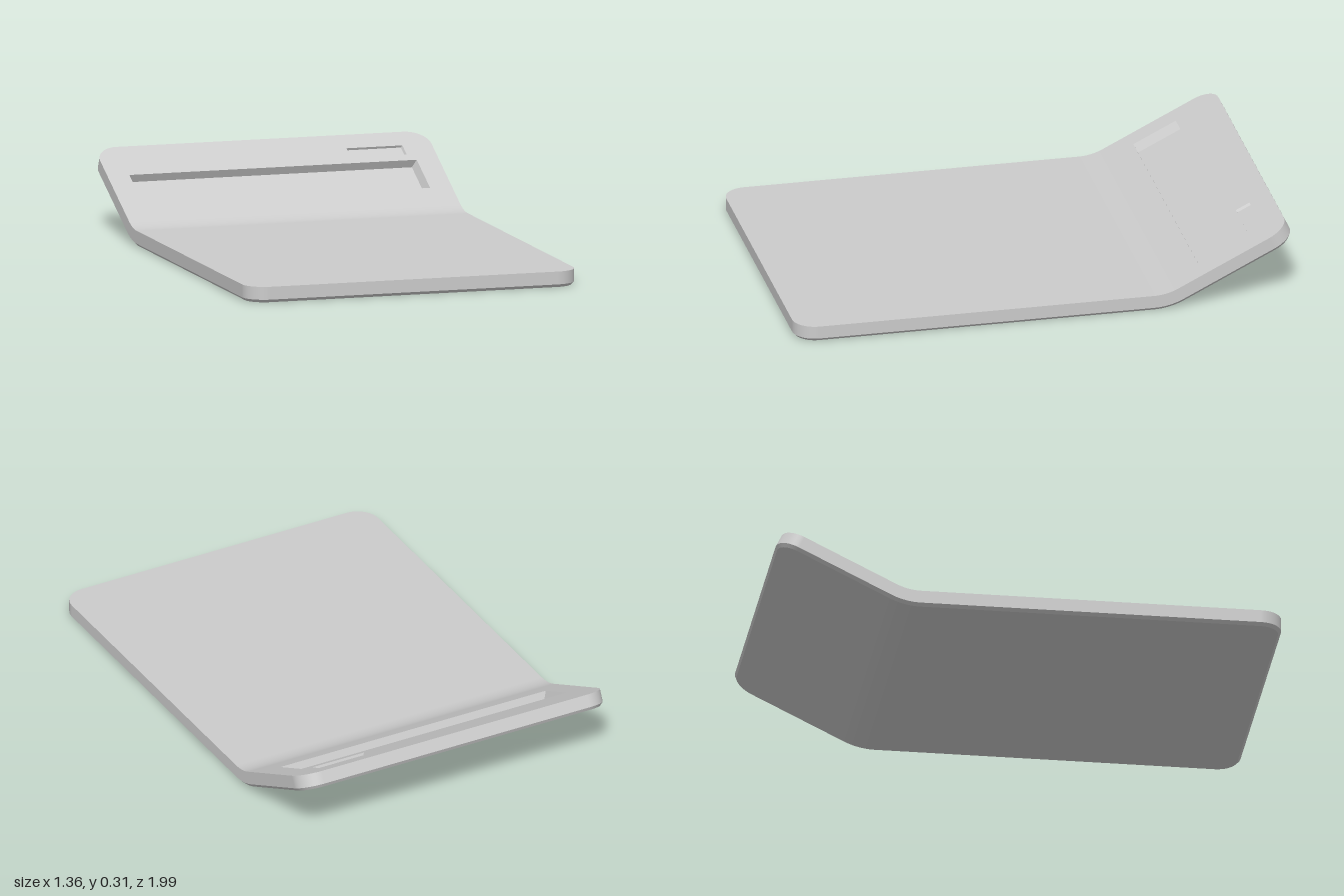
import * as THREE from 'three';
import { mergeGeometries } from 'three/addons/utils/BufferGeometryUtils.js';

const T = 0.063, W = 0.68, FRONT = 1, BACK = -1.025, CORNER = 0.09, CHAMFER = 0.012;
const BEND_Z = -0.43, BEND_R = 0.22, ANGLE = 0.46;
const BEND_END = BEND_Z - BEND_R * ANGLE;
const BEND_STEPS = 12;

// Curls a flat plate geometry upward behind BEND_Z, turning its normals with it
function bend(geometry) {
  const p = geometry.attributes.position, n = geometry.attributes.normal;
  for (let i = 0; i < p.count; i++) {
    const run = Math.max(0, BEND_Z - p.getZ(i));
    if (run === 0) continue;
    const a = Math.min(run / BEND_R, ANGLE);
    const over = Math.max(0, run - BEND_R * ANGLE);
    const rad = T + BEND_R - p.getY(i), c = Math.cos(a), s = Math.sin(a);
    const ny = n.getY(i), nz = n.getZ(i);
    p.setY(i, T + BEND_R - rad * c + over * s);
    p.setZ(i, BEND_Z - rad * s - over * c);
    n.setY(i, ny * c - nz * s);
    n.setZ(i, nz * c + ny * s);
  }
  return geometry;
}

// Z positions where the plate is divided so it can curve
const cuts = [];
for (let i = 0; i <= BEND_STEPS; i++) cuts.push(BEND_Z + (BEND_END - BEND_Z) * i / BEND_STEPS);

// Rounded outline with outward normals, counter-clockwise from above
function outline() {
  const pts = [];
  const corner = (cx, cz, start) => {
    for (let i = 0; i <= 10; i++) {
      const f = start + i / 10 * Math.PI / 2, nx = Math.sin(f), nz = Math.cos(f);
      pts.push({ x: cx + CORNER * nx, z: cz + CORNER * nz, nx, nz });
    }
  };
  const ix = W - CORNER;
  corner(-ix, FRONT - CORNER, -Math.PI / 2);
  corner(ix, FRONT - CORNER, 0);
  cuts.forEach(z => pts.push({ x: W, z, nx: 1, nz: 0 }));
  corner(ix, BACK + CORNER, Math.PI / 2);
  corner(-ix, BACK + CORNER, Math.PI);
  [...cuts].reverse().forEach(z => pts.push({ x: -W, z, nx: -1, nz: 0 }));
  return pts;
}

// Band of quads around the outline between two heights and insets
function band(loop, h0, inset0, h1, inset1) {
  const pos = [], nor = [], idx = [], count = loop.length;
  const slope = new THREE.Vector2(h1 - h0, inset1 - inset0).normalize();
  loop.forEach((p, i) => {
    for (const [h, d] of [[h0, inset0], [h1, inset1]]) {
      pos.push(p.x - p.nx * d, h, p.z - p.nz * d);
      nor.push(p.nx * slope.x, slope.y, p.nz * slope.x);
    }
    const a = 2 * i, b = 2 * ((i + 1) % count);
    idx.push(a, b, b + 1, a, b + 1, a + 1);
  });
  return makeGeometry(pos, nor, idx);
}

function makeGeometry(pos, nor, idx) {
  const g = new THREE.BufferGeometry();
  g.setAttribute('position', new THREE.Float32BufferAttribute(pos, 3));
  if (nor) g.setAttribute('normal', new THREE.Float32BufferAttribute(nor, 3));
  g.setIndex(idx);
  if (!nor) g.computeVertexNormals();
  return g;
}

// Corners of a pocket rectangle, counter-clockwise from above
const rect = ({ x0, x1, z0, z1 }, inset = 0) =>
  [[x0 + inset, z1], [x1 - inset, z1], [x1 - inset, z0], [x0 + inset, z0]];

// Flat face of the plate, cut into slices across the bend, facing up or down
function face(loop, h, inset, up, holes = []) {
  const dir = up ? -1 : 1;
  const limits = [FRONT, ...cuts, BACK];
  const parts = [];
  for (let i = 0; i < limits.length - 1; i++) {
    const slice = loop.filter(p => p.z <= limits[i] + 1e-6 && p.z >= limits[i + 1] - 1e-6);
    const shape = new THREE.Shape(slice.map(p =>
      new THREE.Vector2(p.x - p.nx * inset, dir * (p.z - p.nz * inset))));
    if (i === limits.length - 2) {
      for (const hole of holes) {
        shape.holes.push(new THREE.Path(rect(hole).map(([x, z]) => new THREE.Vector2(x, dir * z))));
      }
    }
    const g = new THREE.ShapeGeometry(shape);
    g.rotateX(dir * Math.PI / 2).translate(0, h, 0);
    g.deleteAttribute('uv');
    parts.push(g);
  }
  return mergeGeometries(parts);
}

// Recess with tapered ends: four walls and a floor
function pocketGeometry(pocket) {
  const rim = rect(pocket).map(([x, z]) => [x, T, z]);
  const floor = rect(pocket, pocket.taper).map(([x, z]) => [x, T - pocket.depth, z]);
  const quads = [floor];
  for (let i = 0; i < 4; i++) {
    const j = (i + 1) % 4;
    quads.push([rim[i], rim[j], floor[j], floor[i]]);
  }
  const idx = quads.flatMap((_, q) => [0, 1, 2, 0, 2, 3].map(k => q * 4 + k));
  return makeGeometry(quads.flat(2), null, idx);
}

export function createModel() {
  const group = new THREE.Group();
  group.name = 'bentPlate';
  const material = new THREE.MeshStandardMaterial({ color: 0xcccccc });
  const add = (name, geometry) => {
    const mesh = new THREE.Mesh(bend(geometry), material);
    mesh.name = name;
    group.add(mesh);
  };

  const pockets = [
    { name: 'widePocket', x0: -0.59, x1: 0.59, z0: -0.835, z1: -0.645, depth: 0.035, taper: 0.015 },
    { name: 'smallPocket', x0: 0.33, x1: 0.56, z0: -0.935, z1: -0.874, depth: 0.01, taper: 0.005 },
  ];
  const loop = outline();

  // Plate: top, side wall, chamfered lower edge, underside
  add('topFace', face(loop, T, 0, true, pockets));
  add('sideWall', band(loop, CHAMFER, 0, T, 0));
  add('lowerChamfer', band(loop, 0, CHAMFER, CHAMFER, 0));
  add('underside', face(loop, 0, CHAMFER, false));

  // Recesses in the raised panel
  pockets.forEach(p => add(p.name, pocketGeometry(p)));
  return group;
}
